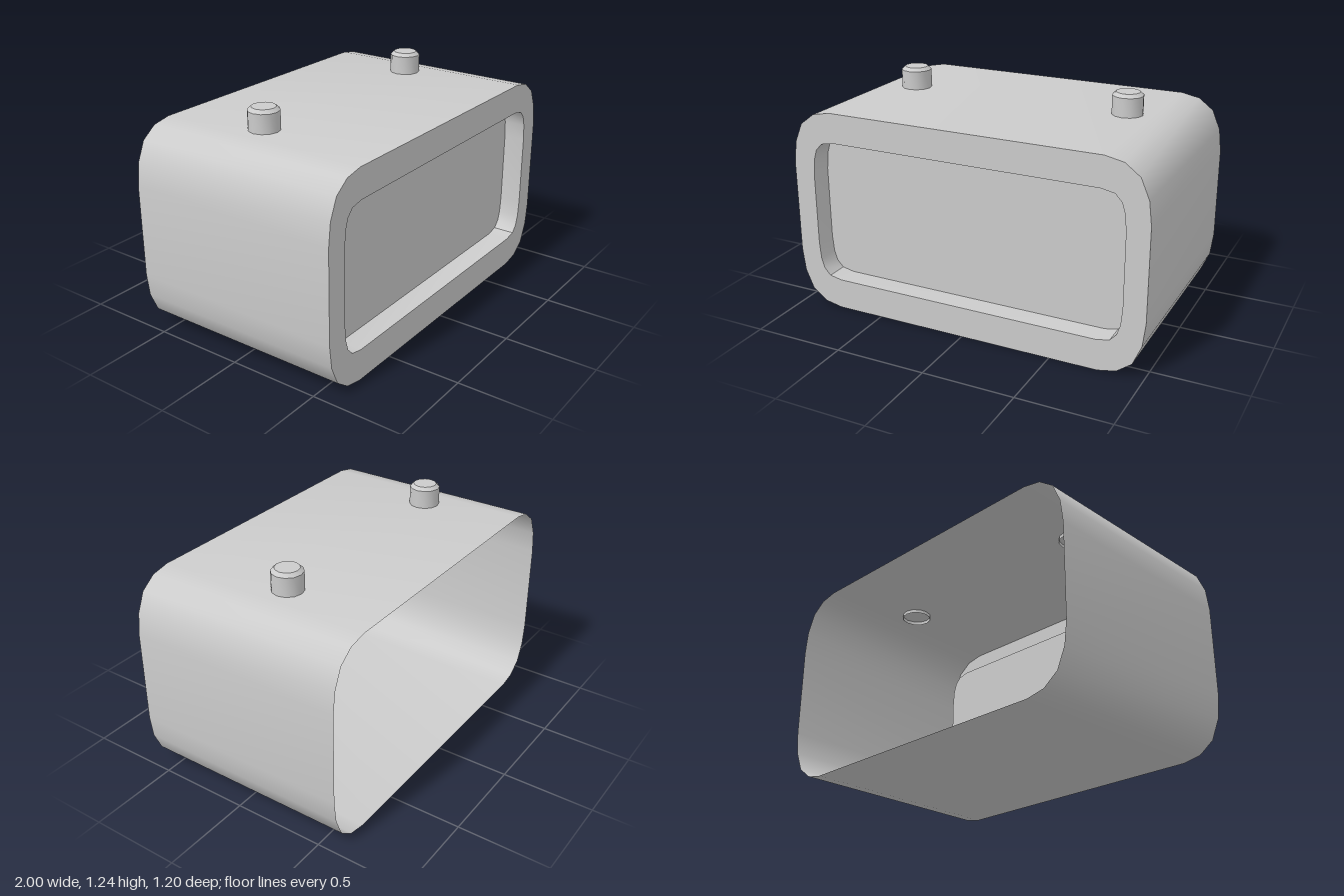
import * as THREE from 'three';
import { toCreasedNormals } from 'three/addons/utils/BufferGeometryUtils.js';

const material = new THREE.MeshStandardMaterial({ color: 0xcccccc, side: THREE.DoubleSide });
const CREASE = 0.62;

// Mirror one top-right corner into a counter-clockwise rounded rectangle.
function roundedLoop(corner, midY) {
  const flipX = corner.map(([x, y]) => [-x, y]).reverse();
  const flipY = (pts) => pts.map(([x, y]) => [x, 2 * midY - y]).reverse();
  return [...corner, ...flipX, ...flipY(flipX), ...flipY(corner)]
    .map(([x, y]) => new THREE.Vector2(x, y));
}

// Open band joining the same loop at two depths, facing outward (or inward).
function band(loop, zBack, zFront, inward = false) {
  const positions = [];
  const index = [];
  const n = loop.length;
  loop.forEach((p) => positions.push(p.x, p.y, zBack, p.x, p.y, zFront));
  for (let i = 0; i < n; i++) {
    const a = 2 * i;
    const b = 2 * ((i + 1) % n);
    if (inward) index.push(a, a + 1, b, b, a + 1, b + 1);
    else index.push(a, b, a + 1, b, b + 1, a + 1);
  }
  const geometry = new THREE.BufferGeometry();
  geometry.setAttribute('position', new THREE.Float32BufferAttribute(positions, 3));
  geometry.setIndex(index);
  return toCreasedNormals(geometry, CREASE);
}

function addMesh(parent, name, geometry) {
  const mesh = new THREE.Mesh(geometry, material);
  mesh.name = name;
  parent.add(mesh);
  return mesh;
}

export function createModel() {
  const model = new THREE.Group();
  model.name = 'casing';

  const outer = roundedLoop(
    [[1, 0.81], [0.985, 0.935], [0.94, 1.04], [0.86, 1.1], [0.76, 1.12]], 0.56);
  const inner = roundedLoop(
    [[0.88, 0.76], [0.872, 0.85], [0.855, 0.905], [0.82, 0.943], [0.75, 0.957]], 0.563);
  const front = 0.6;
  const recess = 0.48;

  // Thin outer sleeve, open at the back
  addMesh(model, 'shell', band(outer, -0.6, front));

  // Front frame with the window opening
  const frame = new THREE.Shape(outer);
  frame.holes.push(new THREE.Path(inner));
  addMesh(model, 'frontFrame', new THREE.ShapeGeometry(frame)).position.z = front;

  // Recess walls and the sunken panel
  addMesh(model, 'recessWall', band(inner, recess, front, true));
  addMesh(model, 'frontPanel', new THREE.ShapeGeometry(new THREE.Shape(inner))).position.z = recess;

  // Two chamfered buttons, open underneath and set slightly into the roof
  const profile = [[0.083, 1.1], [0.083, 1.222], [0.064, 1.24], [0, 1.24]]
    .map(([r, y]) => new THREE.Vector2(r, y));
  const buttonGeometry = toCreasedNormals(new THREE.LatheGeometry(profile, 12), CREASE);
  for (const [name, side] of [['leftButton', 1], ['rightButton', -1]]) {
    addMesh(model, name, buttonGeometry).position.set(side * 0.63, 0, -0.07);
  }

  return model;
}
